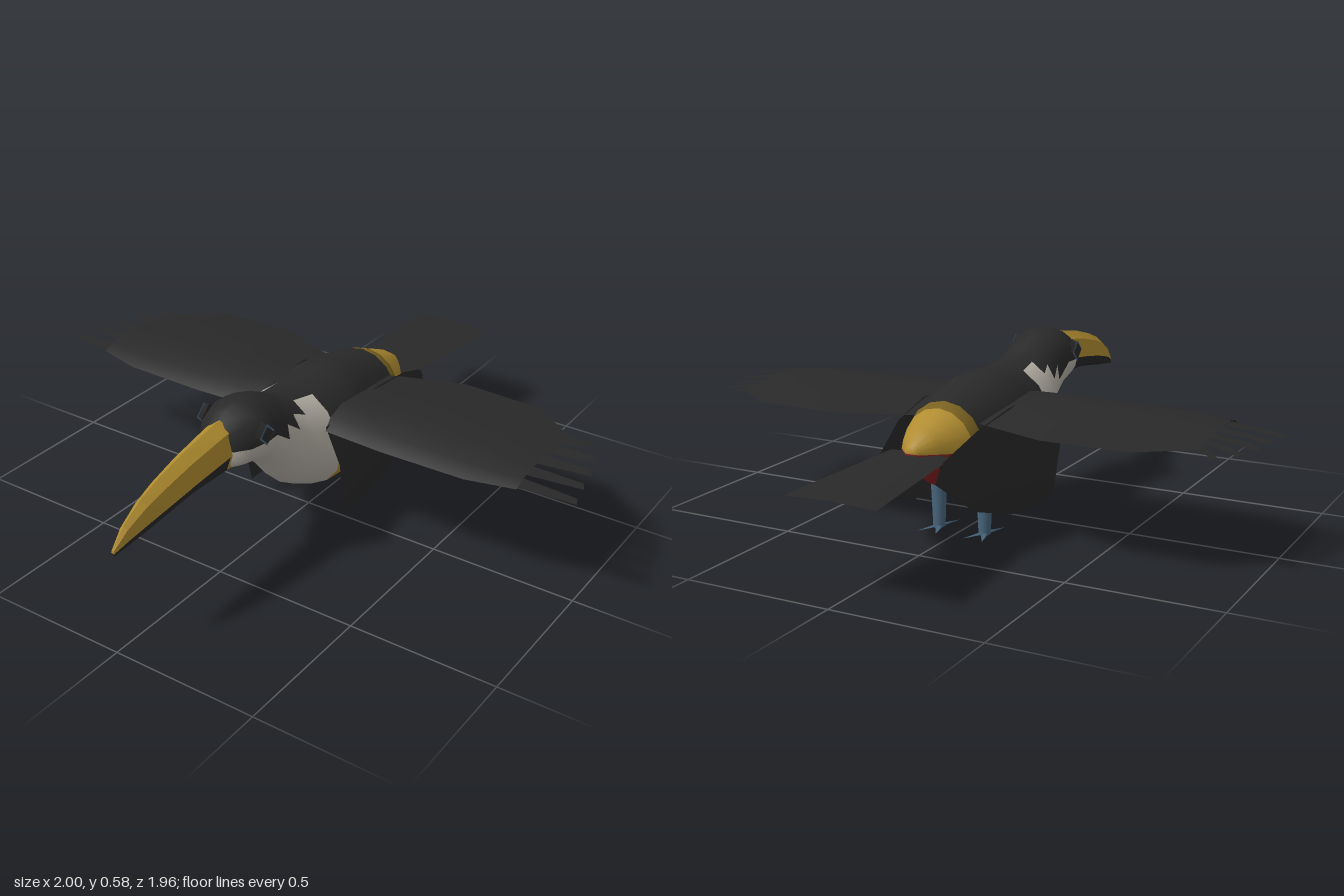
import * as THREE from 'three';

const mat = (name, color, side = THREE.FrontSide) => {
  const m = new THREE.MeshStandardMaterial({ color, side });
  m.name = name;
  return m;
};

export function createModel() {
  const black = mat('black plumage', 0x292929, THREE.DoubleSide);
  const white = mat('pale bib', 0xb9b4aa);
  const gold = mat('gold', 0xb08c30);
  const darkGold = mat('dark gold', 0x7a6220);
  const red = mat('red undertail', 0x8a2222);
  const blue = mat('blue grey', 0x4a6880, THREE.DoubleSide);

  const model = new THREE.Group();
  const add = (name, geometry, material) => {
    const mesh = new THREE.Mesh(geometry, material);
    mesh.name = name;
    model.add(mesh);
    return mesh;
  };

  // Closed loft along z; rings are [z, top, bottom, halfWidth, widestY].
  // pick(z, angleFromTop) returns an index into the material list.
  function loft(rings, n, pick, count, flat) {
    const pos = [], buckets = Array.from({ length: count }, () => []);
    for (const [z, top, bot, w, mid = (top + bot) / 2] of rings) {
      for (let i = 0; i < n; i++) {
        const t = (i / n) * Math.PI * 2, c = Math.cos(t);
        pos.push(w * Math.sin(t), mid + c * (c > 0 ? top - mid : mid - bot), z);
      }
    }
    const angle = i => { const a = ((i + 0.5) / n) * 360; return a > 180 ? 360 - a : a; };
    for (let j = 0; j < rings.length - 1; j++) {
      for (let i = 0; i < n; i++) {
        const k = (i + 1) % n, a = j * n + i, b = j * n + k, d = a + n, c = b + n;
        buckets[pick((rings[j][0] + rings[j + 1][0]) / 2, angle(i))].push(a, d, b, b, d, c);
      }
    }
    // End caps
    for (const j of [0, rings.length - 1]) {
      const [z, top, bot, , mid = (top + bot) / 2] = rings[j], centre = pos.length / 3;
      pos.push(0, mid, z);
      for (let i = 0; i < n; i++) {
        const a = j * n + i, b = j * n + (i + 1) % n;
        buckets[pick(z, angle(i))].push(centre, ...(j ? [b, a] : [a, b]));
      }
    }
    let g = new THREE.BufferGeometry();
    g.setAttribute('position', new THREE.Float32BufferAttribute(pos, 3));
    g.setIndex(buckets.flat());
    let start = 0;
    buckets.forEach((b, m) => { g.addGroup(start, b.length, m); start += b.length; });
    if (flat) g = g.toNonIndexed();
    g.computeVertexNormals();
    return g;
  }

  // Open surface through rows of [x, y, z] points, optionally mirrored in x.
  function sheet(rows, s = 1) {
    const pos = rows.flat().flatMap(([x, y, z]) => [x * s, y, z]), idx = [], n = rows[0].length;
    for (let j = 0; j < rows.length - 1; j++) {
      for (let i = 0; i < n - 1; i++) {
        const a = j * n + i, b = a + 1, d = a + n, c = d + 1;
        idx.push(...(s > 0 ? [a, b, d, b, c, d] : [a, d, b, b, d, c]));
      }
    }
    const g = new THREE.BufferGeometry();
    g.setAttribute('position', new THREE.Float32BufferAttribute(pos, 3));
    g.setIndex(idx);
    g.computeVertexNormals();
    return g;
  }

  // Body, neck and head with painted plumage zones
  const bodyRings = [
    [-0.53, 0.36, 0.31, 0.025], [-0.47, 0.4, 0.26, 0.075], [-0.37, 0.445, 0.19, 0.125],
    [-0.33, 0.46, 0.17, 0.14], [-0.13, 0.51, 0.12, 0.175], [-0.04, 0.507, 0.11, 0.185],
    [0.08, 0.5, 0.132, 0.182, 0.29], [0.17, 0.51, 0.172, 0.15], [0.22, 0.525, 0.23, 0.13],
    [0.27, 0.555, 0.285, 0.115], [0.34, 0.577, 0.35, 0.118, 0.47], [0.39, 0.578, 0.37, 0.12, 0.47],
    [0.45, 0.562, 0.377, 0.1, 0.465], [0.49, 0.53, 0.385, 0.06, 0.46],
  ];
  const plumage = (z, t) => {
    if (z < -0.33) return t > 90 ? 4 : z > -0.37 ? 3 : 2;
    if (z < -0.04) return 0;
    if (z < 0.08) return t > 75 ? 2 : 0;
    const limit = z < 0.17 ? 24 : z < 0.22 ? 46 : z < 0.3 ? 68 : 90;
    return t < limit ? 0 : 1;
  };
  add('body', loft(bodyRings, 16, plumage, 5), [black, white, gold, darkGold, red]);

  // Curved bill: gold upper half and base rim, black lower half
  const beakRings = [
    [0.475, 0.547, 0.374, 0.058, 0.45], [0.5, 0.545, 0.374, 0.057, 0.447],
    [0.655, 0.518, 0.379, 0.048, 0.425], [0.77, 0.488, 0.364, 0.04, 0.405],
    [0.85, 0.46, 0.351, 0.031, 0.388], [0.93, 0.412, 0.34, 0.019, 0.367],
    [0.983, 0.356, 0.332, 0.006, 0.345],
  ];
  add('beak', loft(beakRings, 8, (z, t) => (z < 0.5 || t < 90 ? 0 : 1), 2, true), [gold, black]);

  // Fanned tail with a slight ridge
  add('tail', sheet([[-0.48, 0.108, 0.325], [-0.98, 0.155, 0.308]].map(([z, w, y]) =>
    [[-w, y, z], [0, y + 0.008, z], [w, y, z]])), black);

  // Wing stations: x, leading z, trailing z, crown height
  const stations = [
    [0.1, 0.12, -0.31, 0.435], [0.16, 0.125, -0.335, 0.44], [0.37, 0.135, -0.41, 0.442],
    [0.66, 0.13, -0.4, 0.435], [0.82, 0.09, -0.28, 0.42],
  ];
  const chord = [[0, 0], [0.1, 0.6], [0.27, 1], [0.5, 0.85], [0.75, 0.5], [1, 0.1]];
  // Wingtip feathers: base z, tip x, tip z
  const feathers = [
    [0.05, 1, 0.035], [-0.03, 0.98, -0.055], [-0.11, 0.965, -0.14],
    [-0.185, 0.94, -0.225], [-0.25, 0.885, -0.305],
  ];

  for (const s of [1, -1]) {
    const side = s > 0 ? 'left' : 'right';
    add(side + 'Wing', sheet(stations.map(([x, zf, zb, y]) =>
      chord.map(([u, h]) => [x, 0.392 + (y - 0.392) * h, zf + (zb - zf) * u])), s), black);

    for (const [bz, tx, tz] of feathers) {
      const mx = 0.82 + (tx - 0.82) * 0.55, mz = bz + (tz - bz) * 0.55;
      add(side + 'WingFeather', sheet([
        [[0.8, 0.395, bz + 0.034], [0.8, 0.395, bz - 0.025]],
        [[mx, 0.388, mz + 0.024], [mx, 0.388, mz - 0.02]],
        [[tx, 0.38, tz + 0.014], [tx - 0.015, 0.38, tz - 0.019]],
      ], s), black);
    }

    // Hanging flank feathers beside the body
    add(side + 'Flank', sheet([
      [[0.15, 0.405, 0.12], [0.2, 0.27, 0.11], [0.188, 0.07, 0.075]],
      [[0.16, 0.43, -0.05], [0.208, 0.27, -0.05], [0.188, 0.07, -0.07]],
      [[0.158, 0.425, -0.2], [0.203, 0.26, -0.2], [0.178, 0.08, -0.22]],
      [[0.142, 0.39, -0.38], [0.16, 0.26, -0.39], [0.15, 0.14, -0.41]],
      [[0.108, 0.32, -0.55], [0.11, 0.29, -0.565], [0.106, 0.265, -0.575]],
    ], s), black);

    // Eye with a diamond ring
    const eye = new THREE.CylinderGeometry(0.028, 0.04, 0.025, 4).rotateZ(-s * Math.PI / 2);
    add(side + 'Eye', eye, black).position.set(s * 0.113, 0.5, 0.4);
    const ring = new THREE.RingGeometry(0.025, 0.038, 4).rotateY(s * Math.PI / 2);
    add(side + 'EyeRing', ring, blue).position.set(s * 0.122, 0.5, 0.4);

    // Leg and four flat toes
    add(side + 'Leg', new THREE.CylinderGeometry(0.028, 0.02, 0.18, 6), blue)
      .position.set(s * 0.085, 0.092, -0.225);
    for (const a of [-0.4, 0.4, 2.75, -2.75]) {
      const toe = new THREE.ConeGeometry(0.015, 0.09, 4).translate(0, 0.045, 0)
        .rotateX(Math.PI / 2).scale(1, 0.35, 1).rotateY(a);
      add(side + 'Toe', toe, blue).position.set(s * 0.085, 0.0055, -0.225);
    }
  }
  return model;
}
